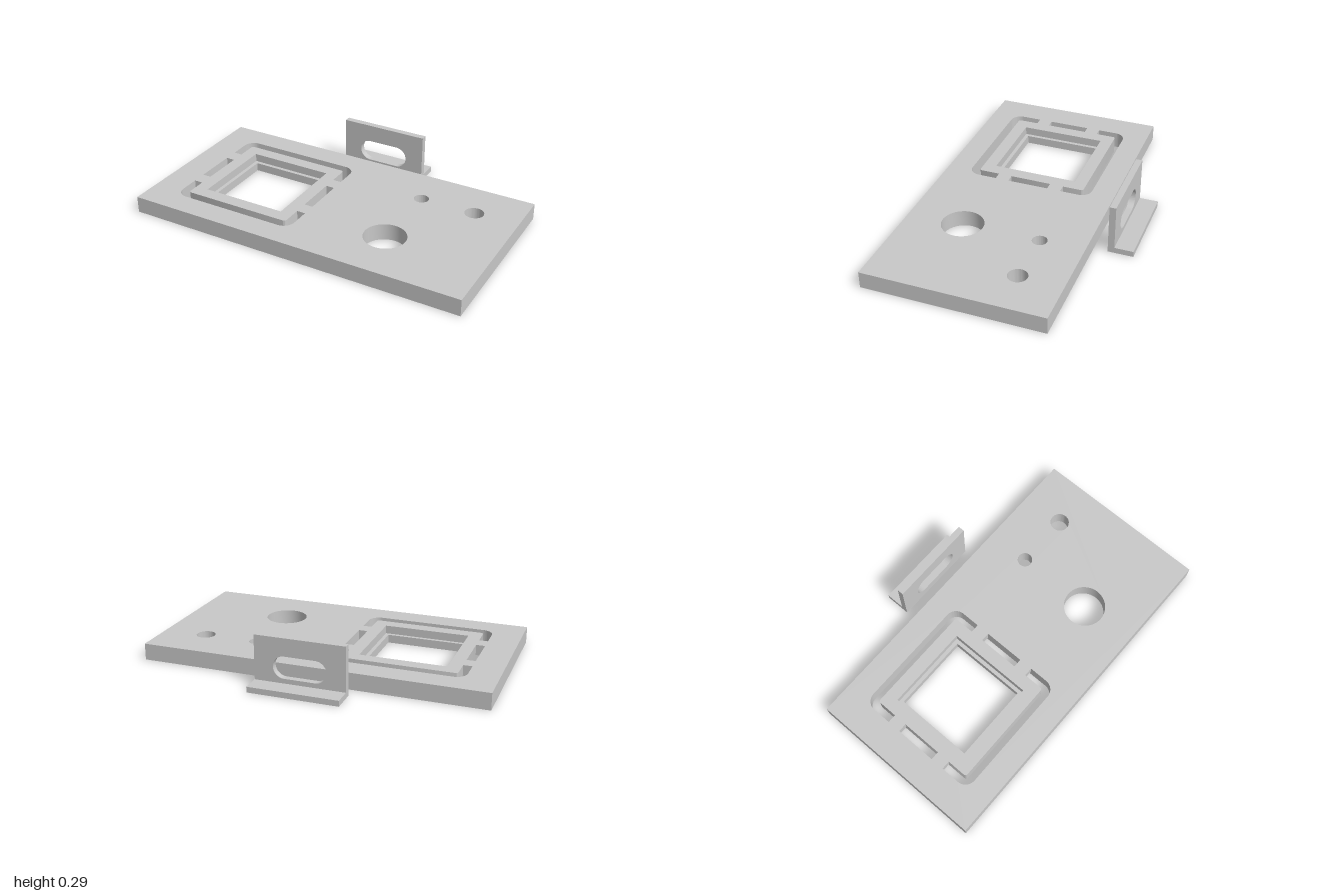
import * as THREE from 'three';
import { toCreasedNormals } from 'three/addons/utils/BufferGeometryUtils.js';

// Rounded rectangle outline between two corners
function rect(Kind, x0, x1, z0, z1, r = 0) {
  const p = new Kind();
  if (r === 0) {
    p.moveTo(x0, z0).lineTo(x1, z0).lineTo(x1, z1).lineTo(x0, z1).closePath();
    return p;
  }
  p.absarc(x1 - r, z0 + r, r, -Math.PI / 2, 0);
  p.absarc(x1 - r, z1 - r, r, 0, Math.PI / 2);
  p.absarc(x0 + r, z1 - r, r, Math.PI / 2, Math.PI);
  p.absarc(x0 + r, z0 + r, r, Math.PI, Math.PI * 1.5);
  p.closePath();
  return p;
}

function circle(x, z, r) {
  return new THREE.Path().absarc(x, z, r, 0, Math.PI * 2);
}

function extrude(shape, depth) {
  return new THREE.ExtrudeGeometry(shape, { depth, bevelEnabled: false, curveSegments: 24 });
}

// Slab from a shape drawn in x and z, between heights y0 and y1
function slab(shape, y0, y1) {
  const g = extrude(shape, y1 - y0).rotateX(Math.PI / 2).translate(0, y1, 0);
  return toCreasedNormals(g, 0.6);
}

export function createModel() {
  const model = new THREE.Group();
  model.name = 'mountingPlateSet';
  const grey = new THREE.MeshStandardMaterial({ color: 0xc8c8c8 });
  grey.name = 'lightGrey';
  const add = (name, geometry, parent = model) => {
    const m = new THREE.Mesh(geometry, grey);
    m.name = name;
    parent.add(m);
    return m;
  };

  const top = 0.097, ledge = 0.049, bridgeBase = 0.035;

  // Main plate with three round holes and the opening around the window frame
  const plate = rect(THREE.Shape, -1, 1, -0.404, 0.628);
  plate.holes.push(
    rect(THREE.Path, -0.829, -0.075, -0.265, 0.488, 0.065),
    circle(0.418, -0.148, 0.043),
    circle(0.741, -0.148, 0.055),
    circle(0.418, 0.304, 0.12)
  );
  add('plate', slab(plate, 0, top));

  // Window frame, with a wider opening above the ledge
  const frame = new THREE.Group();
  frame.name = 'windowFrame';
  model.add(frame);
  const layers = [
    ['frameLower', 0, ledge, 0],
    ['frameUpper', ledge, top, 0.022],
  ];
  for (const [name, y0, y1, step] of layers) {
    const s = rect(THREE.Shape, -0.778, -0.126, -0.213, 0.436, 0.015);
    s.holes.push(rect(THREE.Path, -0.681 - step, -0.224 + step, -0.117 - step, 0.339 + step));
    add(name, slab(s, y0, y1), frame);
  }

  // Four bridges holding the frame, flush with the top
  for (const x of [-0.8035, -0.1005]) {
    for (const z of [-0.05, 0.272]) {
      add('bridge', new THREE.BoxGeometry(0.053, top - bridgeBase, 0.08), frame)
        .position.set(x, (top + bridgeBase) / 2, z);
    }
  }

  // Separate angle bracket behind the plate
  const bracket = new THREE.Group();
  bracket.name = 'angleBracket';
  model.add(bracket);
  const upright = rect(THREE.Shape, -0.26, 0.26, 0, 0.29);
  upright.holes.push(rect(THREE.Path, -0.152, 0.152, 0.06, 0.187, 0.0635));
  add('bracketUpright', toCreasedNormals(extrude(upright, 0.037).translate(0, 0, -0.52), 0.6), bracket);
  add('bracketFoot', new THREE.BoxGeometry(0.52, 0.033, 0.108), bracket)
    .position.set(0, 0.0165, -0.574);

  return model;
}
